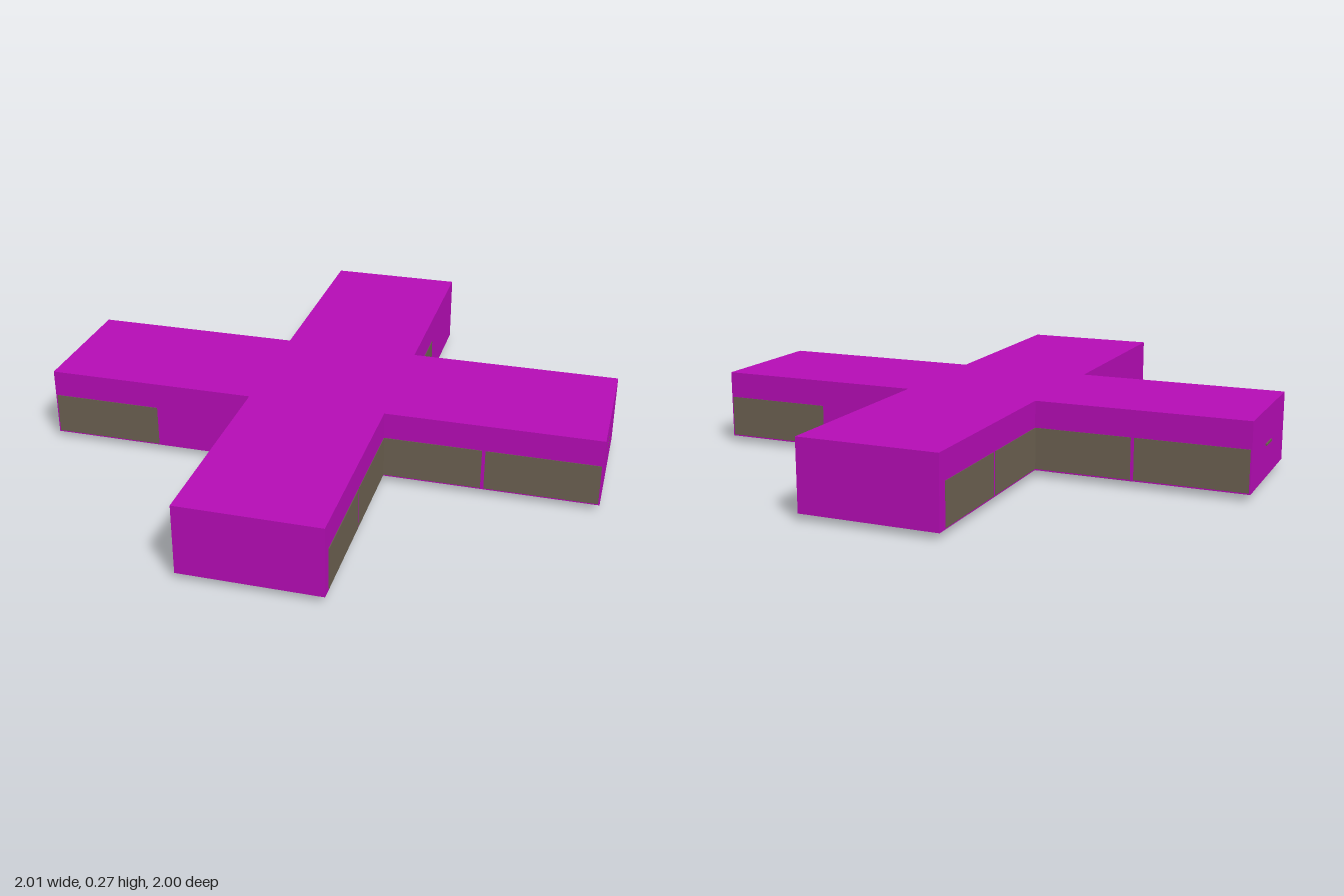
import * as THREE from 'three';

export function createModel() {
  const group = new THREE.Group();
  const purple = new THREE.MeshStandardMaterial({ color: 0xb40cb4 });
  const stone = new THREE.MeshStandardMaterial({ color: 0x6b6050, flatShading: true });
  const W = 0.245, BASE = 0.023, TOP = 0.27, SKIN = 0.002;

  function add(name, geometry, material, x = 0, y = 0, z = 0) {
    const mesh = new THREE.Mesh(geometry, material);
    mesh.name = name;
    mesh.position.set(x, y, z);
    group.add(mesh);
    return mesh;
  }
  // box given by its minimum and maximum corners
  function slab(name, x0, x1, y0, y1, z0, z1) {
    add(name, new THREE.BoxGeometry(x1 - x0, y1 - y0, z1 - z0), stone,
      (x0 + x1) / 2, (y0 + y1) / 2, (z0 + z1) / 2);
  }

  // plus-shaped body
  const outline = [[W, 1], [W, W], [1, W], [1, -W], [W, -W], [W, -1],
    [-W, -1], [-W, -W], [-1, -W], [-1, W], [-W, W], [-W, 1]];
  const plus = new THREE.Shape(outline.map(([x, y]) => new THREE.Vector2(x, y)));
  const body = new THREE.ExtrudeGeometry(plus, { depth: TOP - BASE, bevelEnabled: false });
  body.rotateX(-Math.PI / 2);
  add('crossBody', body, purple, 0, BASE, 0);

  // stone panels on the arm sides, repeated by a half turn
  const y0 = BASE + 0.005, y1 = 0.175;
  for (const s of [1, -1]) {
    for (const [a, b] of [[W + 0.002, 0.59], [0.602, 0.995], [-0.995, -0.6]]) {
      const [p, q] = s > 0 ? [a, b] : [-b, -a];
      slab('sidePanel', p, q, y0, y1, s * W - SKIN, s * W + SKIN);
    }
    for (const [a, b] of [[W + 0.002, 0.59], [0.602, 0.96], [-0.585, -W - 0.002]]) {
      const [p, q] = s > 0 ? [a, b] : [-b, -a];
      slab('sidePanel', s * W - SKIN, s * W + SKIN, y0, y1, p, q);
    }
    // thin stone edge showing in the end face
    slab('endSliver', s - 0.005, s + 0.0005, 0.14, 0.147, -0.04, 0.04);
  }

  // stone patches on the underside: x0, x1, z0, z1
  const patches = [
    [-W, W, -W, W], [W, 0.95, -0.1, 0.12],
    [-0.99, -W, 0.17, 0.24], [-0.6, -0.3, -0.24, -0.17],
    [0.17, 0.24, W, 0.99], [-0.24, -0.17, 0.3, 0.6],
  ];
  for (const [a, b, c, d] of patches) slab('undersidePatch', a, b, BASE - SKIN, BASE + SKIN, c, d);

  // shallow six-sided stone tips below: x, z, depth
  const tips = [
    [0.75, 0, 0.023], [0.45, 0, 0.008], [0.15, 0, 0.018],
    [-0.75, 0, 0.013], [-0.45, 0, 0.013], [-0.15, 0, 0.018],
    [0, 0.75, 0.013], [0, 0.45, 0.01], [0, 0.15, 0.018],
    [0, -0.75, 0.013], [0, -0.45, 0.016], [0, -0.15, 0.013],
  ];
  tips.forEach(([x, z, depth], i) => {
    const tip = add('stoneTip', new THREE.CylinderGeometry(0.075, 0.022, depth, 6), stone,
      x, BASE - depth / 2, z);
    tip.rotation.y = Math.PI / 6 + i * 0.2;
    tip.scale.z = 0.85;
  });

  return group;
}
